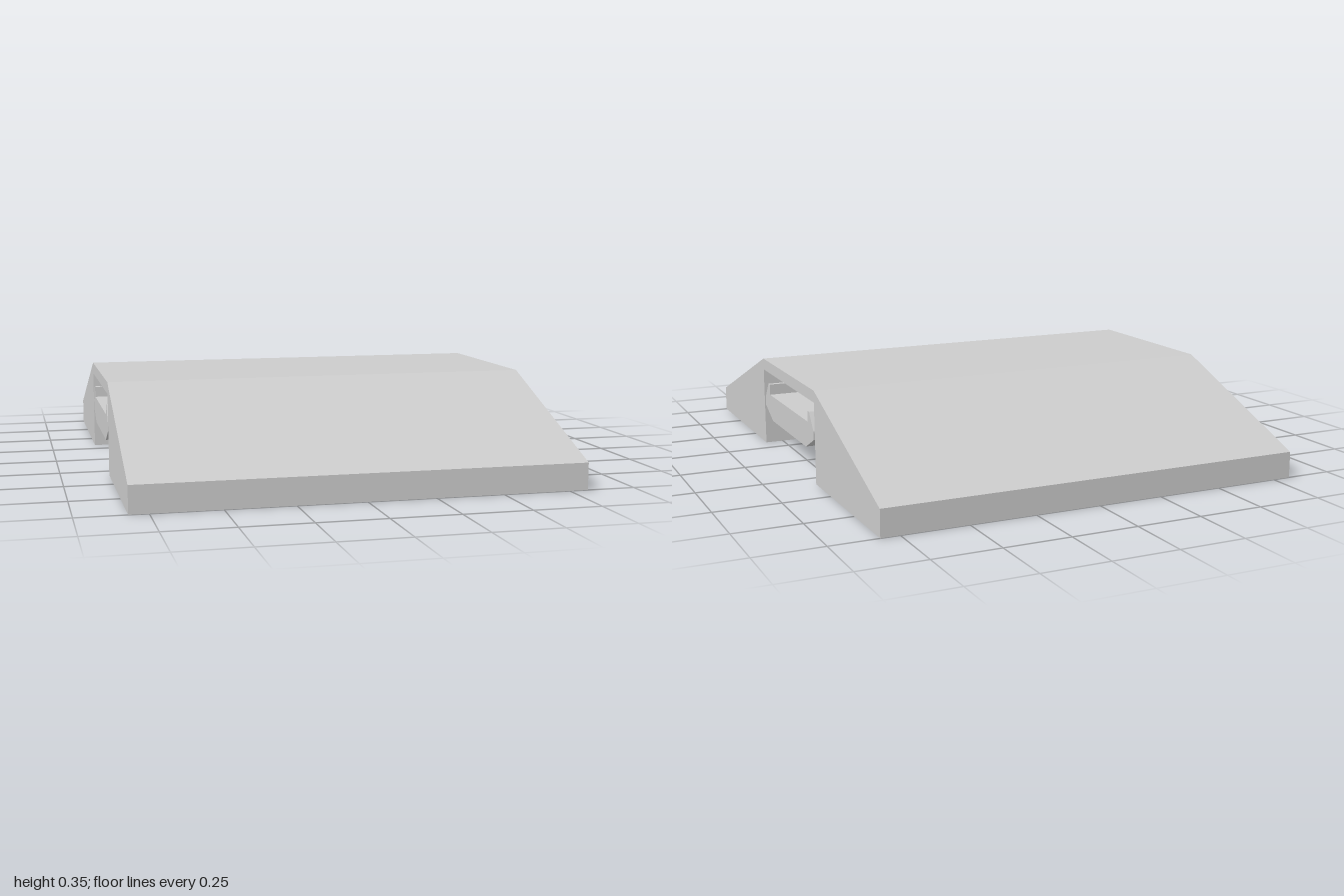
import * as THREE from 'three';

const LENGTH = 1.64;

// Mirrors a half profile of [z, y] points about z = 0 and extrudes it along x.
function symmetricBar(name, half, material) {
  const points = [...half, ...half.slice().reverse().map(([z, y]) => [-z, y])];
  const shape = new THREE.Shape(points.map(([z, y]) => new THREE.Vector2(z, y)));
  const geometry = new THREE.ExtrudeGeometry(shape, { depth: LENGTH, bevelEnabled: false });
  geometry.translate(0, 0, -LENGTH / 2);
  geometry.rotateY(-Math.PI / 2);
  const mesh = new THREE.Mesh(geometry, material);
  mesh.name = name;
  return mesh;
}

export function createModel() {
  const group = new THREE.Group();
  group.name = 'rampCover';
  const material = new THREE.MeshStandardMaterial({ color: 0xcccccc, flatShading: true });

  // Sloped cover with an open channel underneath
  group.add(symmetricBar('rampBody', [
    [0.333, 0.31], [0.333, 0], [1, 0], [1, 0.1], [0.333, 0.355],
  ], material));

  // Clip-in strip with hooked edges, sitting in the channel
  group.add(symmetricBar('channelInsert', [
    [0.22, 0.117], [0.318, 0.165], [0.318, 0.198],
    [0.27, 0.262], [0.25, 0.262], [0.25, 0.22],
  ], material));

  return group;
}
